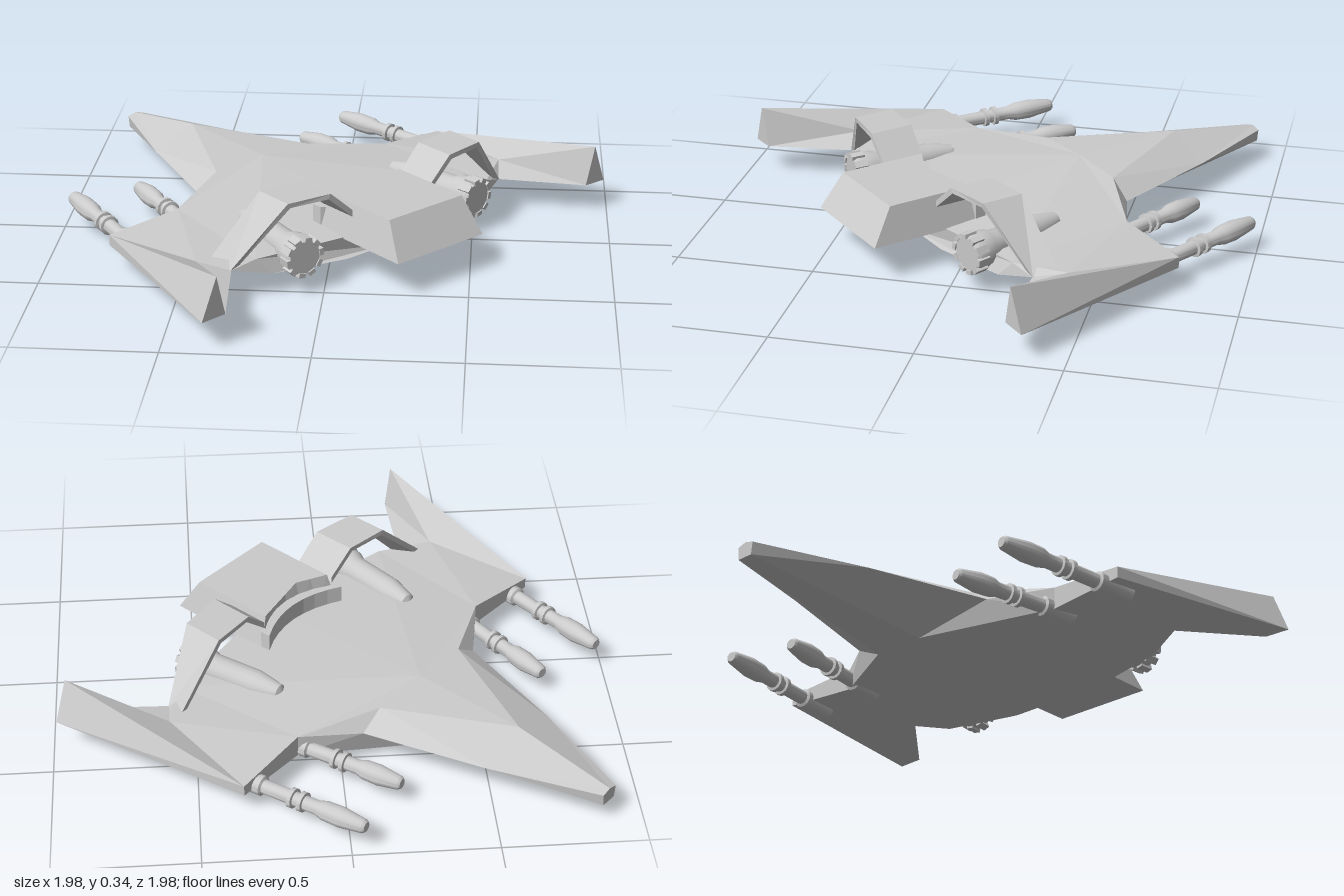
import * as THREE from 'three';
import { toCreasedNormals } from 'three/addons/utils/BufferGeometryUtils.js';

const flat = new THREE.MeshStandardMaterial({ color: 0xcccccc, flatShading: true, side: THREE.DoubleSide });
const smooth = new THREE.MeshStandardMaterial({ color: 0xcccccc, side: THREE.DoubleSide });

// Mesh from polygons, each split as a fan
function panels(name, polygons) {
  const pos = [];
  for (const p of polygons)
    for (let i = 1; i < p.length - 1; i++) pos.push(...p[0], ...p[i], ...p[i + 1]);
  const g = new THREE.BufferGeometry();
  g.setAttribute('position', new THREE.Float32BufferAttribute(pos, 3));
  g.computeVertexNormals();
  const m = new THREE.Mesh(g, flat);
  m.name = name;
  return m;
}

// Turned part running from point a towards point b; profile is [radius, distance]
function turned(name, a, b, profile, sides) {
  const g = new THREE.LatheGeometry(profile.map(p => new THREE.Vector2(...p)), sides);
  const m = new THREE.Mesh(toCreasedNormals(g, 0.6), smooth);
  const from = new THREE.Vector3(...a), to = new THREE.Vector3(...b);
  m.name = name;
  m.position.copy(from);
  m.quaternion.setFromUnitVectors(new THREE.Vector3(0, 1, 0), to.sub(from).normalize());
  return m;
}

// Half of the hull, nose towards -z
function halfHull() {
  const n0 = [0, 0.13, -1.24], n1 = [0.035, 0.12, -1.24], n2 = [0.03, 0.075, -1.24], n3 = [0, 0.075, -1.24];
  const m0 = [0, 0.19, -0.857], m1 = [0.18, 0.12, -0.857];
  const d0 = [0, 0.19, -0.42], d1 = [0.22, 0.18, -0.42], e = [0.31, 0.12, -0.42];
  const k0 = [0, 0, -0.53], k1 = [0.1, 0.002, -0.53];
  const f0 = [0, 0.05, 0.02], f1 = [0.1, 0.05, 0.02];
  const w = [0.5, 0.15, -0.285], wb = [0.5, 0.07, -0.285];
  const a = [0.79, 0.125, -0.3], ab = [0.79, 0.085, -0.3];
  const s = [0.55, 0.14, 0.224], sb = [0.5, 0.08, 0.25], t0 = [0, 0.14, 0.31];
  const b0 = [0, 0.065, 0.3], b1 = [0.2, 0.065, 0.3];
  const r = [0.722, 0.145, 0.112], q = [0.636, 0.115, 0.2];
  const tip = [0.95, 0.105, 0.445], tipIn = [0.853, 0.108, 0.445], peak = [0.89, 0.255, 0.45];
  const g = new THREE.Group();
  g.name = 'hullHalf';
  g.add(
    panels('nose', [
      [n0, m0, m1, n1], [n0, n1, n2, n3], [n1, m1, n2], [n2, m1, k1], [k1, m1, e],
      [m0, d0, d1, m1], [m1, d1, e], [n3, n2, k1, k0],
    ]),
    panels('deck', [[d0, t0, s, w, d1], [d1, w, e], [e, w, wb]]),
    panels('belly', [
      [k0, k1, f1, f0], [f0, f1, b1, b0], [k1, e, wb], [k1, wb, f1], [f1, wb, sb, b1], [b0, b1, sb, s, t0],
    ]),
    panels('wing', [
      [w, s, r, a], [r, s, q], [w, a, ab, wb], [a, tip, ab],
      [wb, ab, tip, tipIn, q, sb], [s, sb, q],
    ]),
    panels('wingtipFin', [[a, r, peak, tip], [r, q, tipIn, peak], [peak, tipIn, tip]]),
  );
  return g;
}

// Bent strut bridging the cabin and the wing above the engine
function arch() {
  const front = [[0.185, 0.25, 0.15], [0.28, 0.335, 0.14], [0.45, 0.335, 0.125], [0.666, 0.135, 0.115]];
  const rear = [[0.185, 0.25, 0.31], [0.28, 0.335, 0.305], [0.45, 0.335, 0.28], [0.64, 0.115, 0.2]];
  const inset = [[0, -0.025], [0.01, -0.018], [-0.01, -0.018], [-0.025, 0]];
  const inner = list => list.map((p, i) => [p[0] + inset[i][0], p[1] + inset[i][1], p[2]]);
  const fi = inner(front), ri = inner(rear), faces = [];
  for (let i = 0; i < 3; i++)
    faces.push(
      [front[i], rear[i], rear[i + 1], front[i + 1]], [fi[i], fi[i + 1], ri[i + 1], ri[i]],
      [front[i], front[i + 1], fi[i + 1], fi[i]], [rear[i], ri[i], ri[i + 1], rear[i + 1]],
    );
  return panels('engineArch', faces);
}

// Engine with a pointed front and a toothed nozzle rim
function engine() {
  const g = turned('engine', [0.355, 0.15, -0.09], [0.41, 0.138, 0.32], [
    [0, 0], [0.03, 0.015], [0.05, 0.11], [0.052, 0.3], [0.065, 0.33], [0.068, 0.4], [0.06, 0.415], [0, 0.415],
  ], 16);
  for (let i = 0; i < 10; i++) {
    const t = i / 10 * Math.PI * 2;
    const tooth = new THREE.Mesh(new THREE.BoxGeometry(0.016, 0.05, 0.026), flat);
    tooth.name = 'nozzleTooth';
    tooth.position.set(Math.cos(t) * 0.066, 0.395, Math.sin(t) * 0.066);
    tooth.rotation.y = -t;
    g.add(tooth);
  }
  return g;
}

// Gun: sleeve, barrel with two rings, swollen muzzle
function gun(name, a, b, length) {
  const s = length / 0.55;
  return turned(name, a, b, [
    [0, 0], [0.036, 0], [0.036, 0.14], [0.026, 0.145], [0.026, 0.25], [0.036, 0.252], [0.036, 0.268],
    [0.026, 0.27], [0.026, 0.29], [0.036, 0.292], [0.036, 0.308], [0.026, 0.31], [0.026, 0.36],
    [0.035, 0.39], [0.037, 0.45], [0.025, 0.54], [0.018, 0.55], [0, 0.55],
  ].map(([r, h]) => [r, h * s]), 14);
}

// Cabin with a concave front wall and a sloped back
function cabin() {
  const top = [], bottom = [];
  for (let i = 0; i <= 6; i++) {
    const x = -1 + i / 3;
    const z = 0.2 - 0.06 * x * x;
    top.push([x * 0.17, 0.265, z + 0.02]);
    bottom.push([x * 0.2, 0.135, z]);
  }
  top.push([0.17, 0.265, 0.485], [-0.17, 0.265, 0.485]);
  bottom.push([0.2, 0.135, 0.565], [-0.2, 0.135, 0.565]);
  const n = top.length;
  const walls = top.map((p, i) => [p, top[(i + 1) % n], bottom[(i + 1) % n], bottom[i]]);
  // Fans start at the middle of the concave wall
  const turn = l => [...l.slice(3), ...l.slice(0, 3)];
  return panels('cabin', [...walls, turn(top).reverse(), turn(bottom)]);
}

// Low curved ledge along the front of the cabin
function ledge() {
  const shape = new THREE.Shape();
  const z = x => 0.175 - 0.06 * (x / 0.2) ** 2;
  for (let i = 0; i <= 8; i++) {
    const x = -0.2 + i * 0.05;
    i ? shape.lineTo(x, z(x)) : shape.moveTo(x, z(x));
  }
  for (let i = 8; i >= 0; i--) {
    const x = -0.2 + i * 0.05;
    shape.lineTo(x, z(x) + 0.04);
  }
  const g = new THREE.ExtrudeGeometry(shape, { depth: 0.08, bevelEnabled: false });
  g.rotateX(Math.PI / 2);
  g.translate(0, 0.215, 0);
  const m = new THREE.Mesh(g, flat);
  m.name = 'cabinLedge';
  return m;
}

export function createModel() {
  const model = new THREE.Group();
  model.name = 'starfighter';
  const craft = new THREE.Group();
  craft.name = 'craft';
  craft.rotation.y = Math.PI / 4;
  model.add(craft);

  // Both mirrored sides
  for (const side of [1, -1]) {
    const half = new THREE.Group();
    half.name = side > 0 ? 'sideA' : 'sideB';
    half.scale.x = side;
    half.add(
      halfHull(), arch(), engine(),
      gun('outerGun', [0.735, 0.085, -0.18], [0.655, 0.1, -0.725], 0.55),
      gun('innerGun', [0.483, 0.085, -0.18], [0.4, 0.09, -0.67], 0.495),
    );
    craft.add(half);
  }
  craft.add(cabin(), ledge());
  return model;
}
